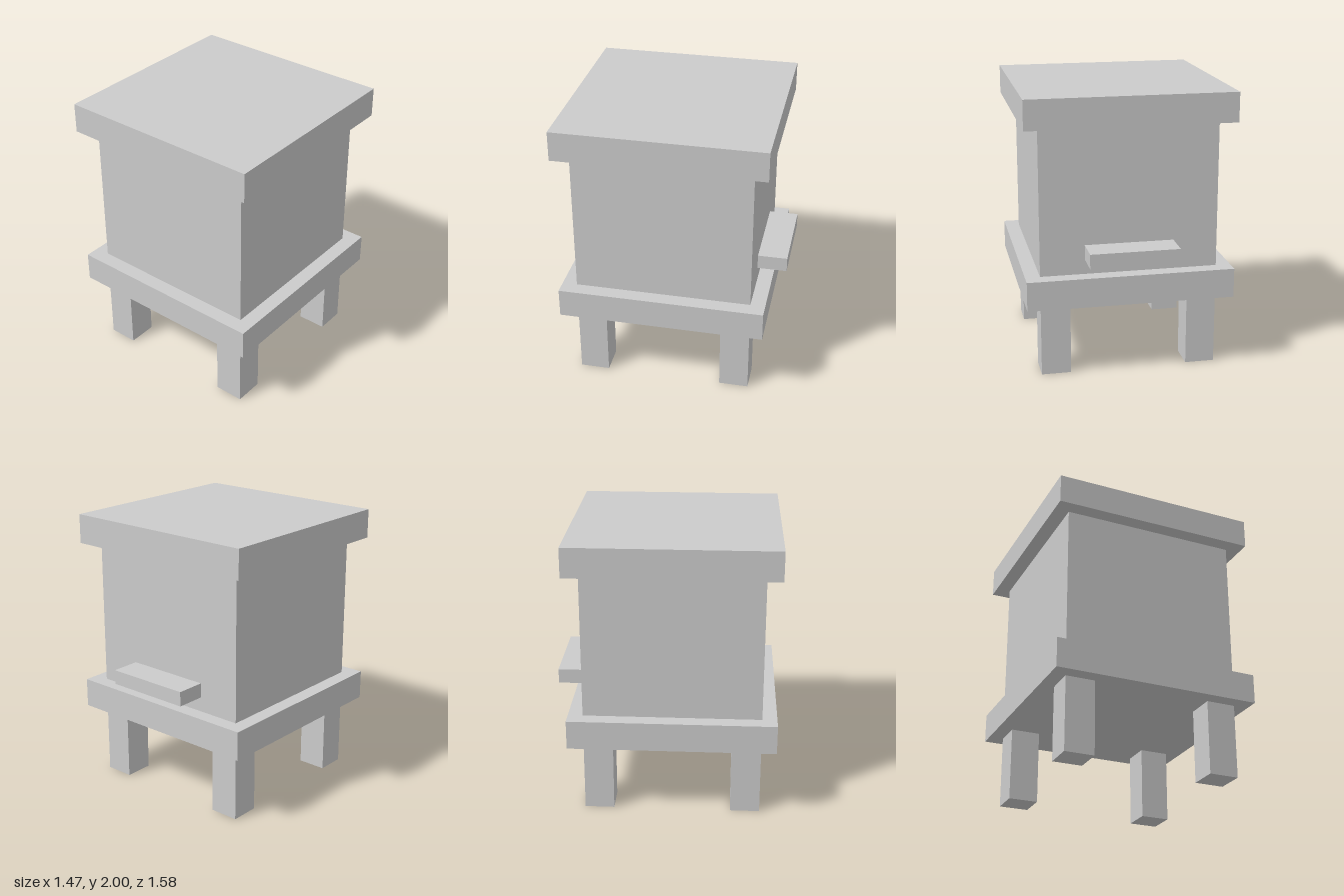
import * as THREE from 'three';

const U = 2 / 19; // one grid step of the design: 19 steps tall
const HIVE_Z = 0.5; // the hive sits slightly forward to balance the landing ledge

export function createModel() {
  const group = new THREE.Group();
  group.name = 'beehive';
  const material = new THREE.MeshStandardMaterial({ color: 0xcccccc, flatShading: true });

  // Box given by size, bottom height and centre, all in grid steps
  function addBox(name, [w, h, d], x, bottom, z) {
    const mesh = new THREE.Mesh(new THREE.BoxGeometry(w * U, h * U, d * U), material);
    mesh.name = name;
    mesh.position.set(x * U, (bottom + h / 2) * U, z * U);
    group.add(mesh);
  }

  // Four square legs, flush with the corners of the body
  for (const [side, x] of [['Left', 5], ['Right', -5]]) {
    addBox(`front${side}Leg`, [2, 5, 2], x, 0, HIVE_Z + 5);
    addBox(`back${side}Leg`, [2, 5, 2], x, 0, HIVE_Z - 5);
  }

  // Base slab, body and overhanging roof
  addBox('base', [14, 2, 14], 0, 5, HIVE_Z);
  addBox('body', [12, 10, 12], 0, 7, HIVE_Z);
  addBox('roof', [14, 2, 14], 0, 17, HIVE_Z);

  // Landing ledge on the back wall
  addBox('landingLedge', [6, 1, 2], 0, 8, -6.5);

  return group;
}
